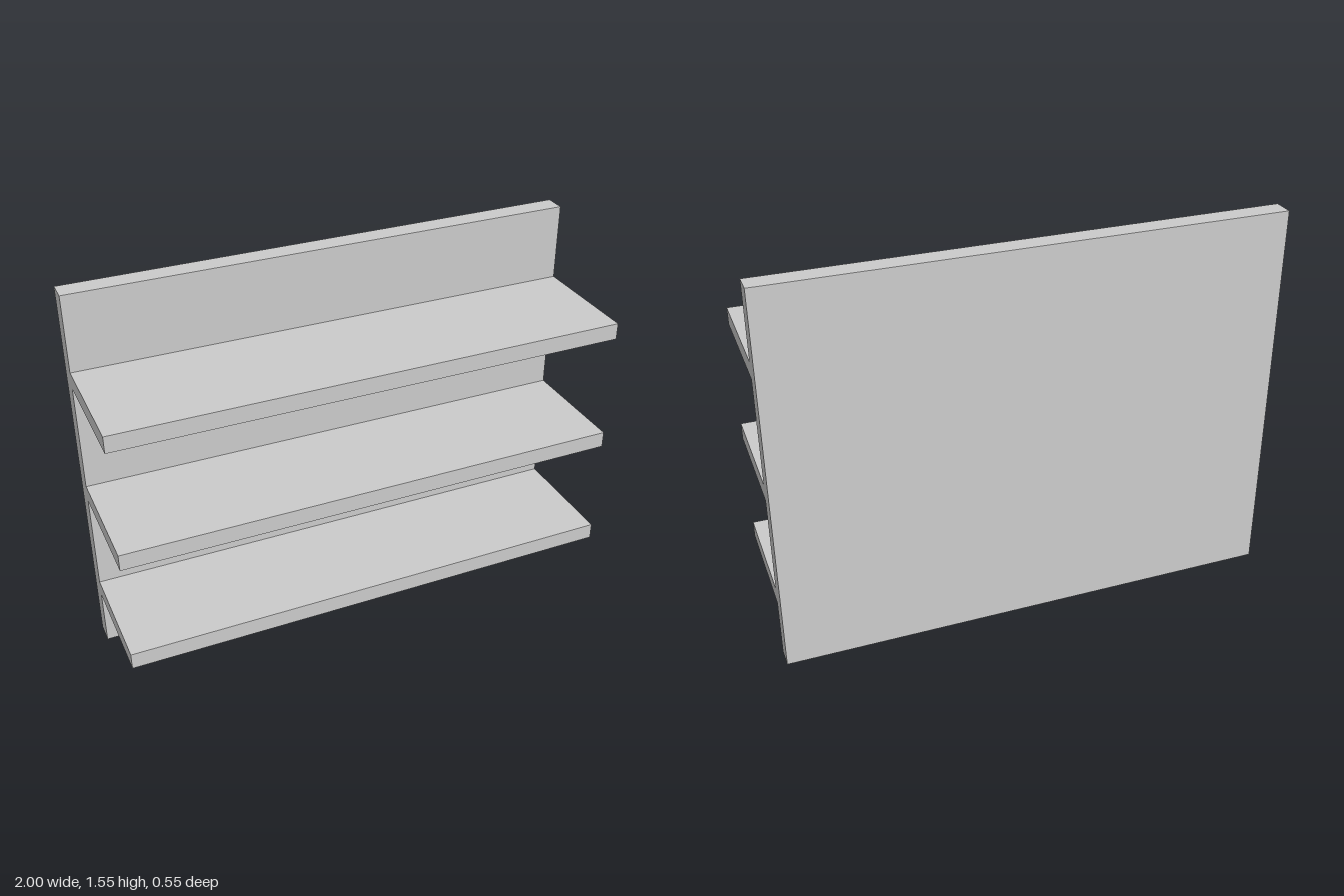
import * as THREE from 'three';

const WIDTH = 2;
const HEIGHT = 1.552;
const BACK = -0.273;
const PANEL_FRONT = -0.191;
const SHELF_FRONT = 0.273;
const SHELF_THICKNESS = 0.066;

export function createModel() {
  const group = new THREE.Group();
  group.name = 'wallShelf';
  const material = new THREE.MeshStandardMaterial({ color: 0xcccccc, flatShading: true });

  // Full-width board between two heights and two depths
  function addBoard(name, y0, y1, z0, z1) {
    const mesh = new THREE.Mesh(new THREE.BoxGeometry(WIDTH, y1 - y0, z1 - z0), material);
    mesh.name = name;
    mesh.position.set(0, (y0 + y1) / 2, (z0 + z1) / 2);
    group.add(mesh);
  }

  // Upright back panel
  addBoard('backPanel', 0, HEIGHT, BACK, PANEL_FRONT);

  // Three shelves, given by their top heights
  const shelfTops = { lowerShelf: 0.3, middleShelf: 0.76, upperShelf: 1.25 };
  for (const [name, top] of Object.entries(shelfTops)) {
    addBoard(name, top - SHELF_THICKNESS, top, PANEL_FRONT, SHELF_FRONT);
  }

  return group;
}
